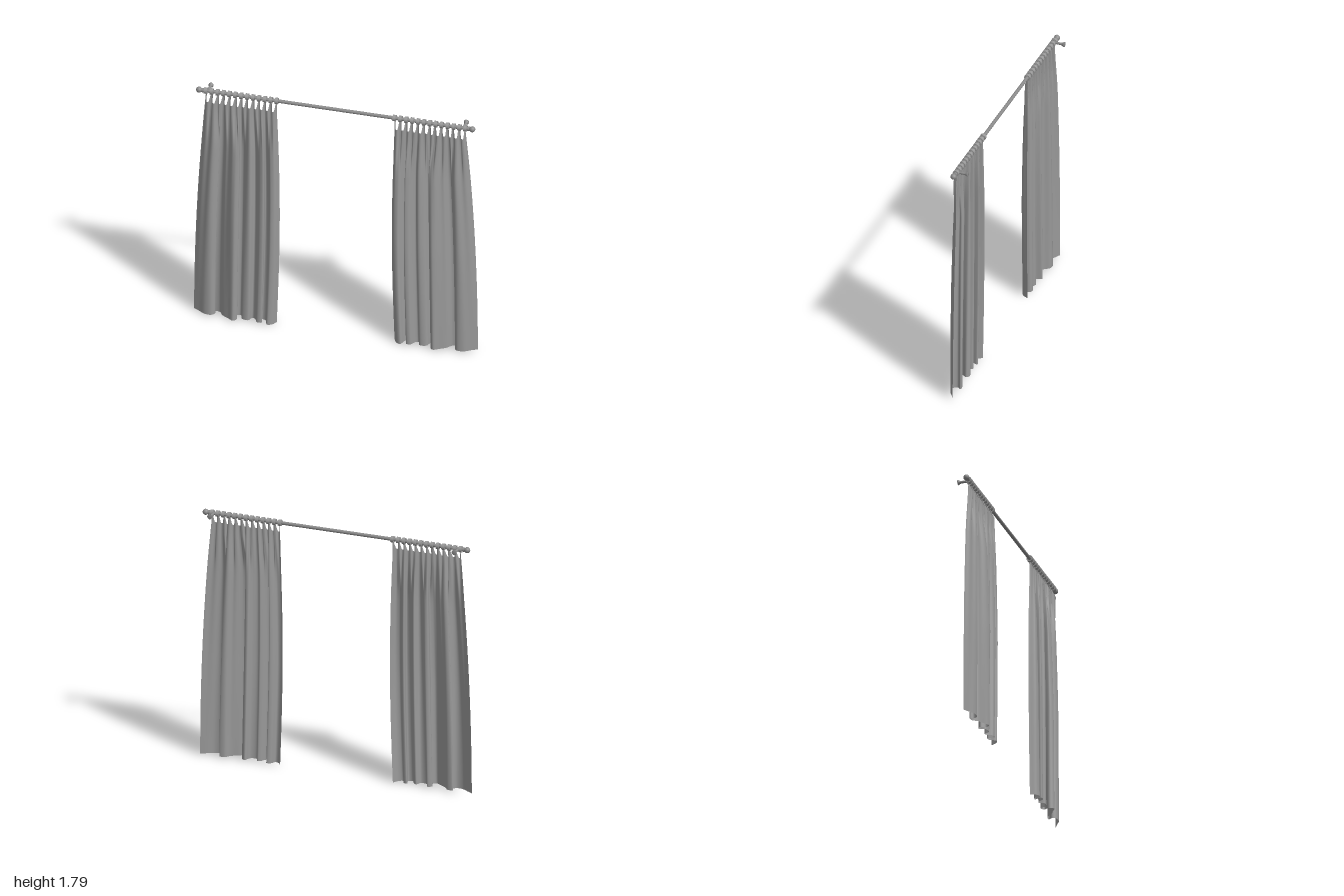
import * as THREE from 'three';

const ROD_Y = 1.765, RINGS = 13, COLS = 192, ROWS = 44;
const metalMat = new THREE.MeshStandardMaterial({ color: 0x8c8c8c });
const clothMat = new THREE.MeshStandardMaterial({ color: 0x999999, side: THREE.DoubleSide });

// Hem cross-section of one panel, outer edge to inner edge: [x, z]
const hem = new THREE.CatmullRomCurve3([
  [1, -0.008], [0.96, 0.014], [0.91, 0.044], [0.865, 0.044], [0.845, 0.015], [0.86, -0.01],
  [0.82, -0.008], [0.79, 0.028], [0.745, 0.056], [0.705, 0.078], [0.682, 0.05], [0.7, 0.01],
  [0.672, -0.008], [0.65, 0.038], [0.605, 0.045], [0.585, 0.006], [0.565, 0.015], [0.54, 0.053],
  [0.51, 0.05], [0.518, 0.002], [0.492, 0.008], [0.47, 0.053], [0.44, 0.042], [0.415, 0],
].map(([x, z]) => new THREE.Vector3(x, 0, z))).getSpacedPoints(COLS);

const outerEdge = y => 1 - 0.085 * (y / 1.745) ** 2;
const innerEdge = y => 0.415 - 0.02 * Math.sin(Math.PI * Math.min(1, y / 1.69));
const ringX = u => THREE.MathUtils.lerp(outerEdge(1.745), innerEdge(1.745), u);

function add(parent, name, geometry, material = metalMat) {
  const mesh = new THREE.Mesh(geometry, material);
  mesh.name = name;
  parent.add(mesh);
  return mesh;
}

// Cloth: gathered tabs at the top blend into the deep folds of the hem
function clothGeometry(side) {
  const pos = [], index = [];
  for (let r = 0; r <= ROWS; r++) {
    const s = 1 - (r / ROWS) ** 1.7;
    const fold = THREE.MathUtils.smoothstep(1 - s, -0.08, 0.22);
    const gather = Math.min(1, 0.45 + 0.55 * Math.sqrt((1 - s) / 0.55));
    const pleat = 0.006 * fold * s;
    for (let c = 0; c <= COLS; c++) {
      const u = c / COLS;
      const k = u * (RINGS - 1);
      const d = Math.abs(k - Math.round(k));
      const tab = 1 - THREE.MathUtils.smoothstep(d, 0.14, 0.36);
      const y = 1.69 * s + 0.056 * tab * Math.max(0, (s - 0.96) / 0.04)
        + 0.01 * (1 - s) * (1 - THREE.MathUtils.smoothstep(u, 0.75, 1));
      const t = THREE.MathUtils.lerp(u, (1 - hem[c].x) / 0.585, fold * (1 - 0.35 * s));
      const x = THREE.MathUtils.lerp(outerEdge(y), innerEdge(y), t);
      const z = THREE.MathUtils.lerp(0.028 * (1 - tab), hem[c].z * gather, fold)
        - pleat * Math.cos(k * Math.PI * 2);
      pos.push(side * x, y, z);
      if (r < ROWS && c < COLS) {
        const a = r * (COLS + 1) + c, b = a + COLS + 1;
        if (side < 0) index.push(a, b, a + 1, b, b + 1, a + 1);
        else index.push(a, a + 1, b, b, a + 1, b + 1);
      }
    }
  }
  const g = new THREE.BufferGeometry();
  g.setAttribute('position', new THREE.Float32BufferAttribute(pos, 3));
  g.setIndex(index);
  g.computeVertexNormals();
  return g;
}

// Ring band that wraps the rod, axis along x
function ringGeometry() {
  const profile = [[0.014, -0.011], [0.022, -0.011], [0.022, 0.011], [0.014, 0.011], [0.014, -0.011]];
  const points = [];
  for (let i = 0; i < profile.length - 1; i++) {
    // doubled corners keep the rims crisp
    points.push(new THREE.Vector2(...profile[i]), new THREE.Vector2(...profile[i + 1]));
  }
  return new THREE.LatheGeometry(points, 20).rotateZ(Math.PI / 2);
}

export function createModel() {
  const group = new THREE.Group();
  group.name = 'curtains';

  add(group, 'rod', new THREE.CylinderGeometry(0.012, 0.012, 1.92, 20).rotateZ(Math.PI / 2)).position.y = ROD_Y;

  const ring = ringGeometry();
  // Wall bracket: arm flaring into a round wall plate
  const bracket = new THREE.LatheGeometry([
    [0, 0], [0.009, 0], [0.009, 0.058], [0.011, 0.066], [0.018, 0.076], [0.018, 0.081], [0, 0.081],
  ].map(p => new THREE.Vector2(...p)), 20).rotateX(-Math.PI / 2);

  for (const side of [1, -1]) {
    const half = new THREE.Group();
    half.name = side > 0 ? 'leftSide' : 'rightSide';
    group.add(half);

    add(half, 'finial', new THREE.SphereGeometry(0.021, 20, 14)).position.set(side * 0.963, ROD_Y, 0);
    add(half, 'finialCollar', new THREE.CylinderGeometry(0.015, 0.015, 0.012, 20).rotateZ(Math.PI / 2))
      .position.set(side * 0.938, ROD_Y, 0);
    add(half, 'wallBracket', bracket).position.set(side * 0.9, ROD_Y, 0);

    for (let i = 0; i < RINGS; i++) {
      add(half, 'curtainRing', ring, clothMat).position.set(side * ringX(i / (RINGS - 1)), ROD_Y, 0);
    }
    add(half, 'curtainPanel', clothGeometry(side), clothMat);
  }
  return group;
}
